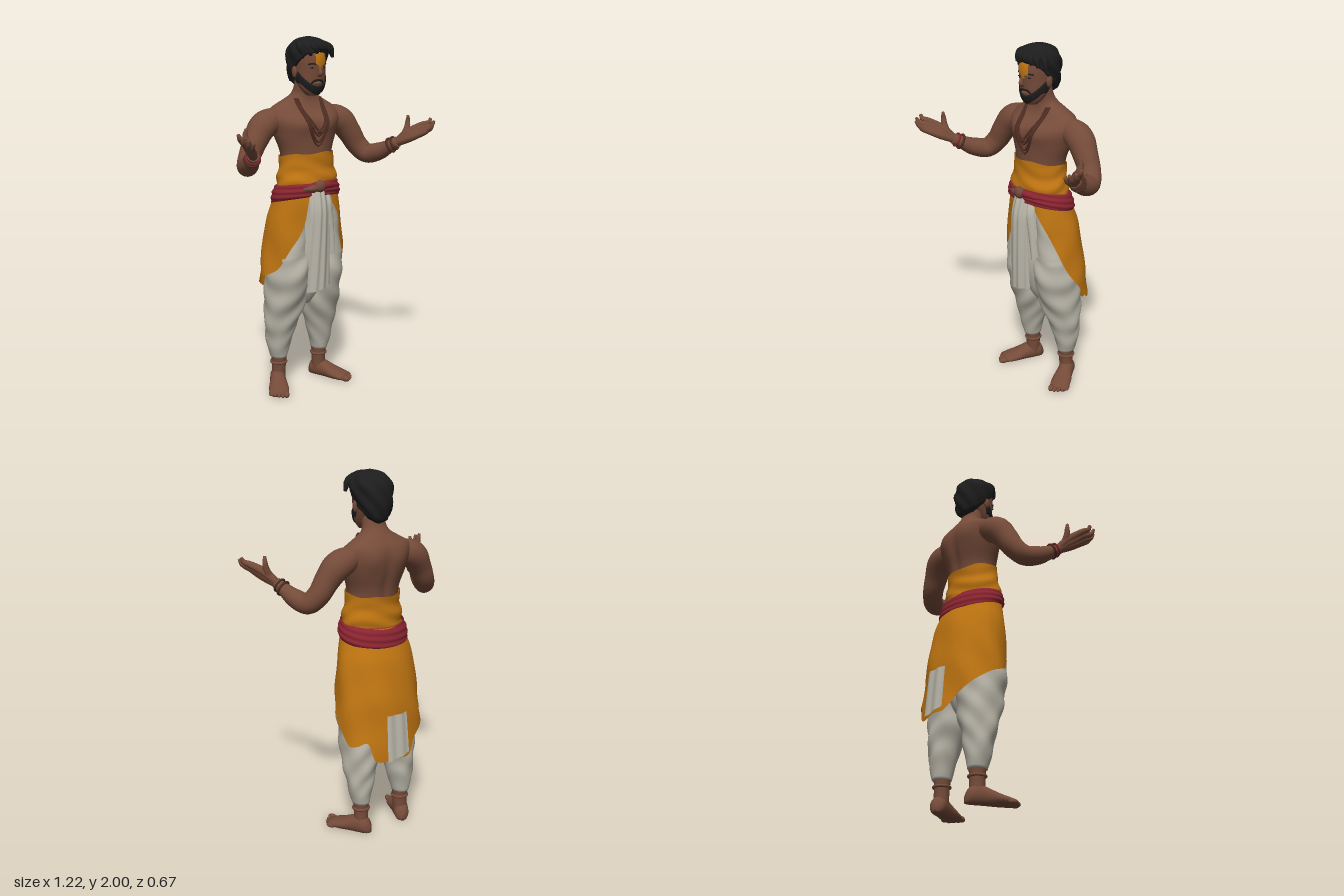
import * as THREE from 'three';

const mat = (name, color, side = THREE.FrontSide) => {
  const m = new THREE.MeshStandardMaterial({ color, side });
  m.name = name;
  return m;
};
const { sin, cos, abs, sqrt, max, min, PI, exp } = Math;
const bell = (v) => exp(-v * v);

// Smooth lookup in rows of [key, a, b, ...] sorted by key
function at(rows, k) {
  k = min(max(k, rows[0][0]), rows[rows.length - 1][0]);
  let i = 0;
  while (i < rows.length - 2 && k > rows[i + 1][0]) i++;
  const p = rows[i], q = rows[i + 1], o = rows[max(i - 1, 0)], r = rows[min(i + 2, rows.length - 1)];
  const h = q[0] - p[0], t = (k - p[0]) / h, t2 = t * t, t3 = t2 * t;
  return p.slice(1).map((_, j) => {
    const n = j + 1, m0 = (q[n] - o[n]) / (q[0] - o[0]) * h, m1 = (r[n] - p[n]) / (r[0] - p[0]) * h;
    return (2 * t3 - 3 * t2 + 1) * p[n] + (t3 - 2 * t2 + t) * m0 + (3 * t2 - 2 * t3) * q[n] + (t3 - t2) * m1;
  });
}

// Grid surface from f(u, v); closed wraps in u and caps both ends
function surface(nu, nv, f, closed = false, caps = closed) {
  const pos = [], idx = [], cols = closed ? nu : nu + 1;
  for (let j = 0; j <= nv; j++) for (let i = 0; i < cols; i++) pos.push(...f(i / nu, j / nv));
  for (let j = 0; j < nv; j++) for (let i = 0; i < nu; i++) {
    const a = j * cols + i, b = j * cols + (i + 1) % cols;
    idx.push(a, b, b + cols, a, b + cols, a + cols);
  }
  if (caps) for (const j of [0, nv]) {
    const c = [0, 0, 0], n = pos.length / 3;
    for (let i = 0; i < cols; i++) for (let k = 0; k < 3; k++) c[k] += pos[(j * cols + i) * 3 + k] / cols;
    pos.push(...c);
    for (let i = 0; i < cols; i++) {
      const a = j * cols + i, b = j * cols + (i + 1) % cols;
      j ? idx.push(a, b, n) : idx.push(b, a, n);
    }
  }
  const g = new THREE.BufferGeometry();
  g.setAttribute('position', new THREE.Float32BufferAttribute(pos, 3));
  g.setIndex(idx);
  g.computeVertexNormals();
  return g;
}

// Tapered tube through [x, y, z, radius] points
function limb(pts, sides = 14, steps = 6 * pts.length) {
  const c = new THREE.CatmullRomCurve3(pts.map((p) => new THREE.Vector3(p[0], p[1], p[2])));
  const fr = c.computeFrenetFrames(steps), radii = pts.map((p, i) => [i, p[3]]);
  return surface(sides, steps, (u, v) => {
    const k = Math.round(v * steps), t = c.getUtoTmapping(v), a = u * 2 * PI;
    const r = at(radii, t * (pts.length - 1))[0];
    return c.getPoint(t).addScaledVector(fr.normals[k], r * cos(a)).addScaledVector(fr.binormals[k], r * sin(a)).toArray();
  }, true);
}

// Point on an elliptical body whose rows are [y, cz, rx, rz]; angle 0 is the front
function around(rows, a, y, grow = 0) {
  const [cz, rx, rz] = at(rows, y);
  return [(max(rx, 0.004) + grow) * sin(a), y, cz + (max(rz, 0.004) + grow) * cos(a)];
}
// Point on the front of a body at a given x
function onFront(rows, x, y, grow) {
  const [cz, rx, rz] = at(rows, y);
  return [x, y, cz + rz * sqrt(max(0, 1 - (x / rx) ** 2)) + grow];
}

const TORSO = [[1.15, -0.08, 0.165, 0.115], [1.3, -0.08, 0.152, 0.112], [1.38, -0.082, 0.153, 0.117], [1.48, -0.093, 0.188, 0.13],
  [1.56, -0.1, 0.212, 0.13], [1.615, -0.118, 0.2, 0.1], [1.65, -0.115, 0.142, 0.08], [1.685, -0.105, 0.082, 0.066], [1.72, -0.09, 0.066, 0.06], [1.79, -0.07, 0.06, 0.06]];
const HEAD = [[1.69, -0.01, 0.035, 0.03], [1.715, -0.02, 0.058, 0.052], [1.76, -0.035, 0.076, 0.078], [1.82, -0.055, 0.085, 0.105],
  [1.88, -0.06, 0.088, 0.115], [1.93, -0.065, 0.085, 0.108], [1.97, -0.065, 0.06, 0.08]];
const HAIR = [[1.72, -0.105, 0.055, 0.052], [1.76, -0.1, 0.075, 0.075], [1.82, -0.085, 0.096, 0.105], [1.88, -0.07, 0.107, 0.122],
  [1.93, -0.06, 0.108, 0.122], [1.97, -0.055, 0.083, 0.1], [1.99, -0.055, 0.05, 0.06], [2.0, -0.055, 0.006, 0.006]];
const HAIRLINE = [[0, 1.915], [0.6, 1.905], [1.0, 1.87], [1.3, 1.82], [1.6, 1.785], [2, 1.75], [PI, 1.722]];
const SKIRT = [[0.45, -0.14, 0.272, 0.188], [0.7, -0.125, 0.252, 0.182], [0.85, -0.115, 0.238, 0.174], [1.0, -0.1, 0.22, 0.158], [1.1, -0.083, 0.195, 0.142], [1.2, -0.075, 0.172, 0.128]];
const HEM = [[-PI, 0.47], [-2.9, 0.47], [-2.6, 0.55], [-1.9, 0.66], [-1.05, 0.74], [-0.75, 0.85], [-0.4, 1.0], [-0.33, 1.16], [0.33, 1.14], [0.55, 1.07],
  [0.9, 0.91], [1.2, 0.76], [1.57, 0.65], [1.95, 0.555], [2.2, 0.56], [2.45, 0.57], [2.6, 0.47], [PI, 0.47]];

export function createModel() {
  const model = new THREE.Group();
  model.name = 'standingMan';
  const skin = mat('skin', 0x754b39), black = mat('hairBlack', 0x1d1d1e, THREE.DoubleSide), orange = mat('orangeCloth', 0xc07511, THREE.DoubleSide);
  const white = mat('whiteCloth', 0xb9b5a8, THREE.DoubleSide), red = mat('redSash', 0x8a2430, THREE.DoubleSide);
  const bead = mat('woodBeads', 0x4f2d22), knotMat = mat('knotBrown', 0x74483c);
  const add = (name, geo, m, parent = model) => {
    const mesh = new THREE.Mesh(geo, m);
    mesh.name = name;
    parent.add(mesh);
    return mesh;
  };
  const ball = (name, m, p, s, parent) => {
    const b = add(name, new THREE.SphereGeometry(1, 16, 12), m, parent);
    b.position.set(...p);
    b.scale.set(...s);
  };
  const ring = (name, m, p, dir, r, tube) => {
    const t = add(name, new THREE.TorusGeometry(r, tube, 8, 24), m);
    t.position.set(...p);
    t.quaternion.setFromUnitVectors(new THREE.Vector3(0, 0, 1), new THREE.Vector3(...dir).normalize());
  };

  // Torso with chest muscles, spine groove and shoulder blades
  add('torso', surface(56, 48, (u, v) => {
    const p = around(TORSO, u * 2 * PI, 1.15 + 0.64 * v), [x, y] = p, f = cos(u * 2 * PI);
    if (f > 0) p[2] += f * (0.014 * bell((abs(x) - 0.085) / 0.06) * bell((y - 1.53) / 0.05) - 0.008 * bell(x / 0.015) * bell((y - 1.5) / 0.1));
    else p[2] += -f * (0.014 * bell(x / 0.025) * bell((y - 1.45) / 0.14) - 0.012 * bell((abs(x) - 0.1) / 0.05) * bell((y - 1.55) / 0.06));
    return p;
  }, true), skin);

  // Head and face
  add('head', surface(36, 28, (u, v) => around(HEAD, u * 2 * PI, 1.69 + 0.28 * v), true), skin);
  add('nose', limb([[0, 1.85, 0.047, 0.008], [0, 1.825, 0.062, 0.01], [0, 1.81, 0.065, 0.013], [0, 1.798, 0.05, 0.012]], 10), skin);
  add('lips', limb([[-0.022, 1.754, 0.035, 0.004], [0, 1.757, 0.046, 0.008], [0.022, 1.754, 0.035, 0.004]], 8), skin);
  for (const s of [-1, 1]) {
    ball('ear', skin, [s * 0.091, 1.815, -0.05], [0.012, 0.032, 0.02]);
    ball('eye', black, onFront(HEAD, s * 0.035, 1.838, -0.002), [0.013, 0.004, 0.005]);
    add('eyebrow', limb([0.016, 0.035, 0.056].map((x, i) => [...onFront(HEAD, s * x, 1.856 + 0.004 * (i === 1), 0.001), 0.004]), 8), black);
    add('moustache', limb([[0, 1.773, 0.047, 0.005], [s * 0.022, 1.77, 0.04, 0.006], [s * 0.043, 1.742, 0.022, 0.005]], 8), black);
  }
  add('foreheadMark', surface(8, 16, (u, v) => {
    const w = v < 0.2 ? 0.01 : 0.03;
    return onFront(HEAD, 0.006 + (u * 2 - 1) * w, 1.835 + 0.085 * v, 0.007);
  }), orange);

  // Beard wrapping the jaw and cheeks
  add('beard', surface(36, 10, (u, v) => {
    const a = (u * 2 - 1) * 1.7, k = min(abs(a) / 1.3, 1), top = 1.742 + 0.075 * k * k, low = 1.69 + 0.06 * k * k;
    const p = around(HEAD, a, low + (top - low) * v, 0.007 * min(1, 6 * (1 - v) + 0.2));
    if (v === 0) { p[0] *= 0.4; p[2] = -0.02 + (p[2] + 0.02) * 0.4; }
    return p;
  }), black);

  // Tousled hair cap with a shaped hairline, and swept locks on top
  add('hair', surface(72, 28, (u, v) => {
    const a = u * 2 * PI, low = at(HAIRLINE, min(a, 2 * PI - a))[0], k = sin(v * PI / 2);
    const y = low + (2.0 - low) * k, wave = 0.005 * sin(7 * a + 55 * y) * min(1, 4 * (1 - k));
    const p = around(HAIR, a, y, wave);
    if (v === 0) { p[0] *= 0.8; p[2] = -0.06 + (p[2] + 0.06) * 0.8; }
    return p;
  }, true, false), black);
  for (let i = 0; i < 8; i++) {
    const x = -0.08 + i * 0.026, e = abs(i - 3.5) / 3.5, fz = 0.07 - 0.06 * e * e;
    add('hairLock', limb([[x * 0.5 - 0.02, 1.965, -0.07, 0.016], [x * 0.85 - 0.01, 1.975 - 0.025 * e, -0.01, 0.022], [x, 1.952 - 0.015 * e, fz - 0.01, 0.02],
      [x + 0.016, 1.932 - 0.045 * e, fz - 0.006, 0.008]], 10), black);
  }

  // Arms, hands, wrist beads, feet
  for (const s of [-1, 1]) {
    const S = (pts) => pts.map((p) => [s * p[0], ...p.slice(1)]);
    add('arm', limb(S([[0.13, 1.57, -0.118, 0.05], [0.2, 1.552, -0.118, 0.071], [0.255, 1.525, -0.113, 0.076], [0.305, 1.46, -0.1, 0.067], [0.35, 1.385, -0.085, 0.06],
      [0.39, 1.337, -0.045, 0.056], [0.42, 1.355, 0.035, 0.05], [0.442, 1.39, 0.1, 0.037], [0.46, 1.42, 0.15, 0.03]]), 20), skin);
    const fingers = [[[0.505, 1.472, 0.185, 0.025], [0.568, 1.517, 0.235, 0.019], [0.592, 1.53, 0.256, 0.014], [0.603, 1.553, 0.258, 0.008]],
      [[0.508, 1.462, 0.2, 0.026], [0.56, 1.5, 0.25, 0.019], [0.587, 1.512, 0.28, 0.014], [0.6, 1.541, 0.292, 0.008]],
      [[0.503, 1.45, 0.208, 0.025], [0.547, 1.486, 0.265, 0.018], [0.567, 1.5, 0.296, 0.014], [0.575, 1.531, 0.315, 0.008]],
      [[0.493, 1.442, 0.205, 0.022], [0.533, 1.473, 0.268, 0.016], [0.545, 1.487, 0.296, 0.012], [0.55, 1.512, 0.318, 0.007]],
      [[0.487, 1.455, 0.168, 0.022], [0.508, 1.497, 0.17, 0.018], [0.515, 1.53, 0.167, 0.014], [0.512, 1.565, 0.173, 0.008]]];
    fingers.forEach((f, i) => add(i < 4 ? 'finger' : 'thumb', limb(S([[0.455, 1.412, 0.138, 0.022], ...f]), 10), skin));
    for (let i = 0; i < 2; i++)
      ring('wristBeads', i && s < 0 ? red : bead, [s * (0.445 + 0.008 * i), 1.396 + 0.014 * i, 0.108 + 0.022 * i], [s * 0.33, 0.45, 0.8], 0.039 - 0.003 * i, 0.007 - 0.001 * i);

    // Foot turned outwards, with toes
    const foot = new THREE.Group();
    foot.name = 'foot';
    foot.position.set(s * 0.143, 0, -0.168);
    foot.rotation.y = s * 0.48;
    model.add(foot);
    const FOOT = [[-0.062, 0.012, 0.04], [-0.045, 0.036, 0.075], [0, 0.044, 0.1], [0.05, 0.047, 0.085], [0.11, 0.056, 0.058], [0.16, 0.056, 0.042], [0.195, 0.047, 0.03]];
    add('footBody', surface(24, 20, (u, v) => {
      const z = -0.062 + 0.257 * v, [w, h] = at(FOOT, z), a = u * 2 * PI;
      return [w * cos(a), max(0, h * (0.42 + 0.58 * sin(a))), z];
    }, true), skin, foot);
    for (let i = 0; i < 5; i++) {
      const r = i ? 0.012 : 0.017;
      ball('toe', skin, [s * (-0.038 + i * 0.0215), r, 0.202 - i * i * 0.0022], [r, r, 0.028], foot);
    }
    add('ankle', limb([[s * 0.14, 0.04, -0.165, 0.04], [s * 0.138, 0.12, -0.162, 0.041], [s * 0.138, 0.2, -0.16, 0.046], [s * 0.138, 0.28, -0.16, 0.05]], 18), skin);
    ring('anklet', skin, [s * 0.138, 0.14, -0.162], [0, 1, 0], 0.043, 0.008);

    // Draped trouser leg with slanting folds
    const LEG = [[0.175, 0.14, -0.162, 0.046, 0.054], [0.25, 0.141, -0.158, 0.066, 0.07], [0.38, 0.131, -0.146, 0.095, 0.094], [0.47, 0.12, -0.133, 0.112, 0.112], [0.57, 0.114, -0.12, 0.117, 0.13],
      [0.7, 0.112, -0.107, 0.118, 0.148], [0.85, 0.107, -0.11, 0.112, 0.137], [1.0, 0.1, -0.102, 0.1, 0.125], [1.18, 0.08, -0.08, 0.085, 0.11]];
    add('trouserLeg', surface(48, 80, (u, v) => {
      const y = 0.175 + v, a = u * 2 * PI, [cx, cz, rx, rz] = at(LEG, y), b = a * s;
      const f = (0.004 * sin(42 * y + 5 * cos(b - 0.9)) + 0.003 * sin(4 * b + 22 * y)) * min(1, v * 6) * (y > 0.8 ? 0.5 : 1);
      return [s * cx + (rx + f) * sin(a), y, cz + (rz + f) * cos(a)];
    }, true), white);
  }
  const SEAT = [[0.5, -0.12, 0.03, 0.06], [0.57, -0.115, 0.08, 0.1], [0.75, -0.105, 0.12, 0.14], [1.0, -0.1, 0.13, 0.135], [1.18, -0.08, 0.14, 0.12]];
  add('trouserSeat', surface(36, 20, (u, v) => around(SEAT, u * 2 * PI, 0.5 + 0.68 * v), true), white);

  // Orange overcloth open at the front with pointed hem, and a shorter layer over the back
  const cloth = (name, a0, a1, hem, grow) => add(name, surface(120, 30, (u, v) => {
    const a = a0 + (a1 - a0) * u, h = hem(a), y = h + (1.18 - h) * v;
    return around(SKIRT, a, y, grow(u) + (1 - v) * (0.004 * sin(7 * a + 9 * y) + 0.003 * sin(24 * y + 5 * cos(a + 0.5))));
  }), orange);
  cloth('overcloth', 0.34, 2 * PI - 0.34, (a) => at(HEM, a > PI ? a - 2 * PI : a)[0], () => 0.004);
  cloth('backLayer', 1.8, 2 * PI - 1.5, (a) => 0.72 + 0.025 * sin(3 * a), (u) => 0.014 * sqrt(sin(u * PI)) - 0.003);

  // White tail hanging behind
  add('backTail', surface(12, 16, (u, v) => {
    const p = around(SKIRT, PI - 0.28 + 0.5 * u, 0.46 + 0.26 * v, 0.016 + 0.004 * sin(u * 12));
    p[1] += 0.03 * u * (1 - v);
    return p;
  }), white);

  // Orange waist wrap with creases
  const WAIST = [[1.17, -0.075, 0.178, 0.132], [1.24, -0.073, 0.178, 0.132], [1.3, -0.076, 0.163, 0.121], [1.385, -0.082, 0.162, 0.125]];
  add('waistWrap', surface(60, 24, (u, v) => {
    const a = u * 2 * PI, y = 1.17 + (0.195 + 0.018 * cos(a) + 0.004 * sin(5 * a)) * v;
    return around(WAIST, a, y, 0.004 * sin(70 * y + 3 * sin(2 * a)) * (1.2 - v));
  }, true, false), orange);

  // Red sash, dipping towards the back, with its knot
  add('sash', surface(64, 16, (u, v) => {
    const a = u * 2 * PI, y = 1.158 + 0.03 * cos(a) + (v - 0.5) * (0.094 - 0.014 * cos(a)), bulge = sin(v * PI);
    return around(SKIRT, a, y, 0.007 + 0.013 * sqrt(max(0, bulge)) + 0.003 * sin(v * 19 + 2 * a));
  }, true, false), red);
  ball('knot', knotMat, [-0.008, 1.205, 0.075], [0.034, 0.034, 0.025]);
  for (const s of [-1, 1])
    add('knotLoop', limb([[0, 1.2, 0.07, 0.018], [s * 0.05, 1.2 + s * 0.006, 0.066, 0.02], [s * 0.1, 1.19, 0.048, 0.008]], 10), s < 0 ? knotMat : red);

  // Softly pleated white panel in front, with a narrow side tail
  const panel = (name, xa, xb, wa, wb, y0, y1, n, z) => add(name, surface(n * 10, 24, (u, v) => {
    const k = 1 - v, x = xa + (xb - xa) * k + (u - 0.5) * (wa + (wb - wa) * k);
    return [x, y1 + (y0 - y1) * v + 0.03 * k * (u - 0.3), z + 0.028 * sin(min(k * 4, 1) * PI / 2) + 0.004 * sin(u * n * 2 * PI + 3 * k) - 0.012 * k * k - 0.03 * (2 * u - 1) ** 2];
  }), white);
  panel('frontPanel', -0.01, -0.012, 0.11, 0.15, 1.18, 0.615, 3, 0.077);
  panel('sideTail', 0.055, 0.082, 0.05, 0.05, 1.17, 0.82, 1, 0.056);

  // Bead necklaces lying on the chest
  [[1.42, 0.084], [1.44, 0.078], [1.475, 0.078], [1.505, 0.07]].forEach(([low, w]) => {
    const pts = [];
    for (let i = 0; i <= 16; i++) {
      const t = i / 8 - 1, y = low + (1.672 - low) * abs(t) ** 1.5, x = w * sin(t * PI / 2 * 0.85) * 1.03;
      pts.push([...onFront(TORSO, x, y, 0.008 + 0.012 * bell((y - 1.53) / 0.06)), 0.005]);
    }
    add('necklace', limb(pts, 8, 64), bead);
  });
  ball('pendant', bead, onFront(TORSO, 0, 1.5, 0.02), [0.012, 0.015, 0.01]);
  return model;
}
